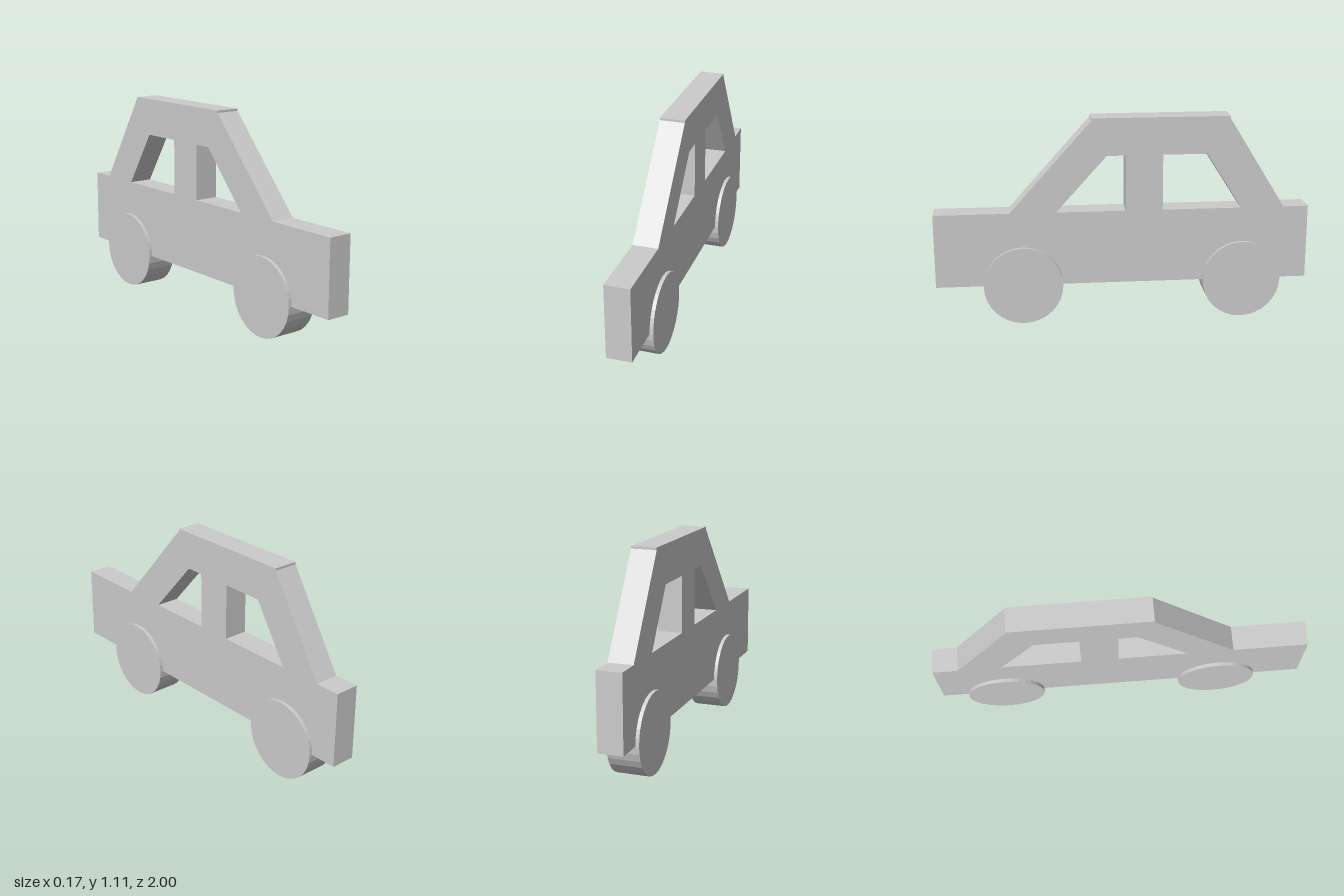
import * as THREE from 'three';

const BODY_WIDTH = 0.132;
const WHEEL_WIDTH = 0.17;
const WHEEL_RADIUS = 0.212;

const points = (list) => list.map(([z, y]) => new THREE.Vector2(z, y));

export function createModel() {
  const group = new THREE.Group();
  const material = new THREE.MeshStandardMaterial({ color: 0xcccccc, flatShading: true });

  // Side silhouette of the car as (z, y), with a small lip at each roof end
  const silhouette = new THREE.Shape(points([
    [1, 0.212], [1, 0.612], [0.6, 0.612], [0.165, 1.1], [0.165, 1.112],
    [-0.565, 1.112], [-0.565, 1.1], [-0.866, 0.612], [-1, 0.612], [-1, 0.212],
  ]));

  // Front and rear window openings
  const windows = [
    [[0.355, 0.612], [0.085, 0.912], [-0.015, 0.912], [-0.015, 0.612]],
    [[-0.212, 0.612], [-0.212, 0.912], [-0.445, 0.912], [-0.635, 0.612]],
  ];
  for (const w of windows) silhouette.holes.push(new THREE.Path(points(w)));

  const bodyGeometry = new THREE.ExtrudeGeometry(silhouette, { depth: BODY_WIDTH, bevelEnabled: false });
  bodyGeometry.translate(0, 0, -BODY_WIDTH / 2).rotateY(-Math.PI / 2);
  const body = new THREE.Mesh(bodyGeometry, material);
  body.name = 'body';
  group.add(body);

  // Solid wheels passing through the body
  const wheelGeometry = new THREE.CylinderGeometry(WHEEL_RADIUS, WHEEL_RADIUS, WHEEL_WIDTH, 32);
  wheelGeometry.rotateZ(Math.PI / 2);
  for (const [name, z] of [['frontWheel', 0.535], ['rearWheel', -0.645]]) {
    const wheel = new THREE.Mesh(wheelGeometry, material);
    wheel.name = name;
    wheel.position.set(0, WHEEL_RADIUS, z);
    group.add(wheel);
  }

  return group;
}
